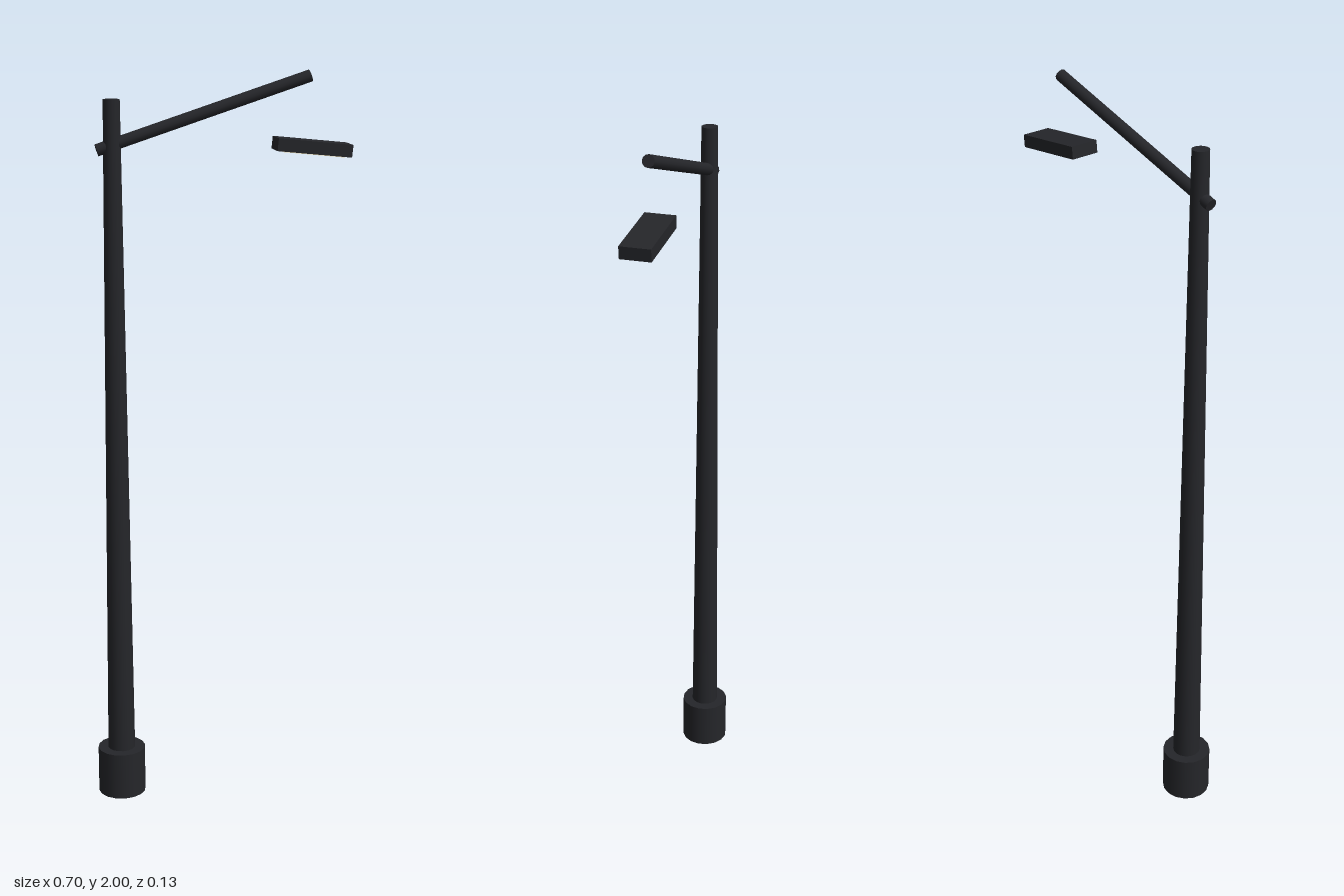
import * as THREE from 'three';

export function createModel() {
  const model = new THREE.Group();
  const dark = new THREE.MeshStandardMaterial({ color: 0x25262a });
  const glow = new THREE.MeshStandardMaterial({ color: 0xfff0c4 });
  const poleX = -0.283;

  const add = (parent, name, geometry, material, x, y, z = 0) => {
    const mesh = new THREE.Mesh(geometry, material);
    mesh.name = name;
    mesh.position.set(x, y, z);
    parent.add(mesh);
    return mesh;
  };

  // Foot and tapered pole
  add(model, 'base', new THREE.CylinderGeometry(0.066, 0.066, 0.132, 16), dark, poleX, 0.066);
  add(model, 'pole', new THREE.CylinderGeometry(0.022, 0.039, 1.93, 16), dark, poleX, 0.965);

  // Slanted arm, crossing the pole near its top
  const start = new THREE.Vector3(-0.323, 1.801, 0);
  const end = new THREE.Vector3(0.238, 1.985, 0);
  const along = end.clone().sub(start);
  const middle = start.clone().add(end).multiplyScalar(0.5);
  const arm = add(model, 'arm', new THREE.CylinderGeometry(0.016, 0.016, along.length(), 12),
    dark, middle.x, middle.y);
  arm.quaternion.setFromUnitVectors(new THREE.Vector3(0, 1, 0), along.normalize());

  // Lamp head with a light panel underneath, tipped down at its outer end
  const lamp = new THREE.Group();
  lamp.name = 'lampHead';
  lamp.position.set(0.245, 1.802, 0);
  lamp.rotation.z = -0.1;
  model.add(lamp);
  add(lamp, 'lampHousing', new THREE.BoxGeometry(0.2, 0.033, 0.081), dark, 0, 0);
  add(lamp, 'lightPanel', new THREE.BoxGeometry(0.165, 0.006, 0.064), glow, 0, -0.0155);

  return model;
}
